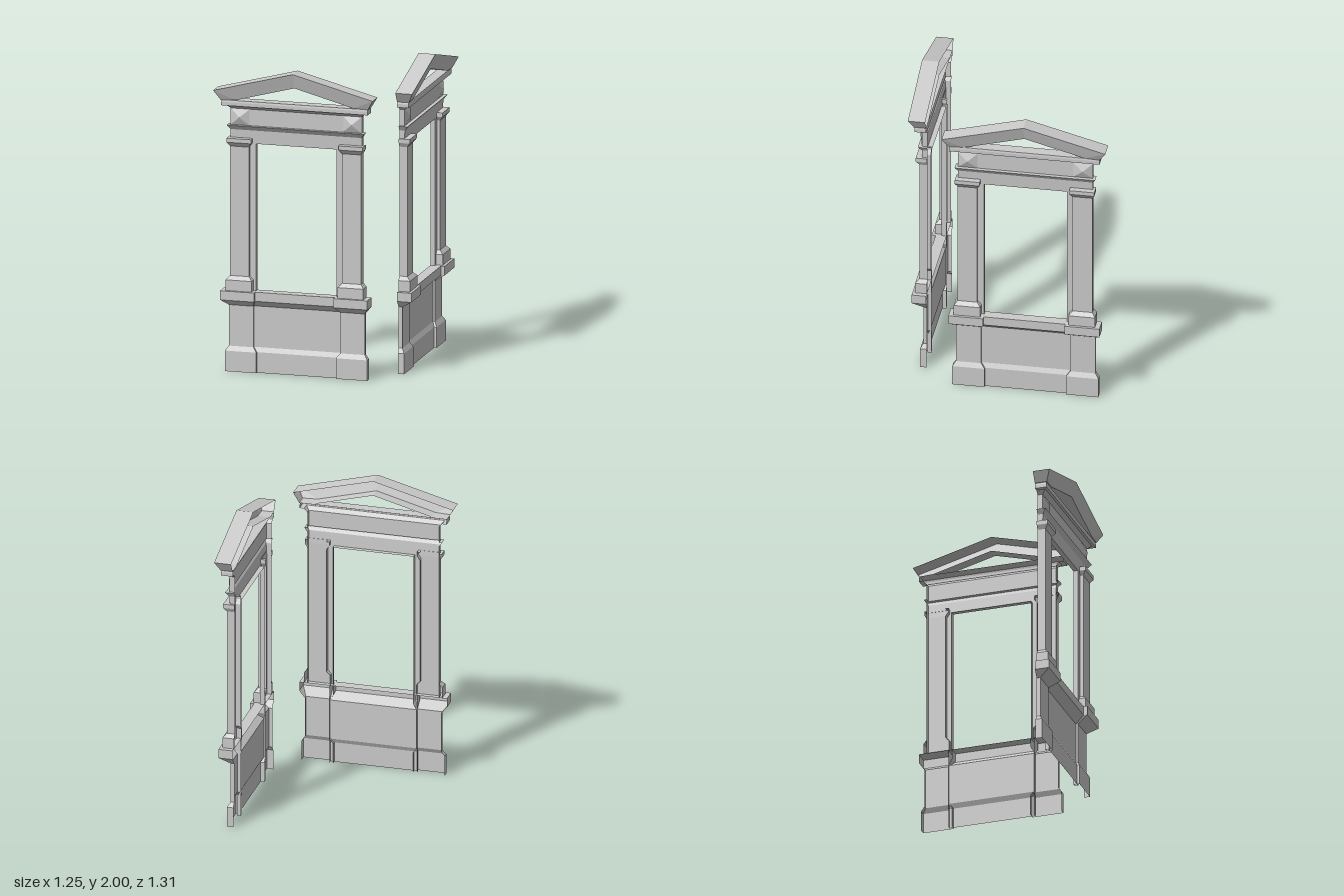
import * as THREE from 'three';

const material = new THREE.MeshStandardMaterial({ color: 0xcccccc, flatShading: true, side: THREE.DoubleSide });

// Mesh from a list of polygons, each fanned into triangles
function polyMesh(name, polys) {
  const pos = [];
  for (const p of polys)
    for (let i = 1; i < p.length - 1; i++) pos.push(...p[0], ...p[i], ...p[i + 1]);
  const geo = new THREE.BufferGeometry();
  geo.setAttribute('position', new THREE.Float32BufferAttribute(pos, 3));
  geo.computeVertexNormals();
  const mesh = new THREE.Mesh(geo, material);
  mesh.name = name;
  return mesh;
}

// Open-backed moulding: rows of [y, inner x, outer x, depth], from bottom to top
function moulding(name, rows, side = 1) {
  const loops = rows.map(([y, a, b, d]) => {
    const [l, r] = side > 0 ? [a, b] : [-b, -a];
    return [[l, y, 0], [l, y, d], [r, y, d], [r, y, 0]];
  });
  const polys = [];
  for (let i = 0; i < loops.length - 1; i++)
    for (let k = 0; k < 3; k++)
      polys.push([loops[i][k], loops[i][k + 1], loops[i + 1][k + 1], loops[i + 1][k]]);
  return polyMesh(name, polys);
}

// Moulding symmetrical about the centre: rows of [y, half width, depth]
const centred = (name, rows) => moulding(name, rows.map(([y, w, d]) => [y, -w, w, d]));

function pediment() {
  const front = 0.112, low = 0.08, polys = [];
  for (const s of [-1, 1]) {
    const tip = [s * 0.531, 1.86], foot = [s * 0.49, 1.793], heel = [s * 0.392, 1.797];
    const top = [0, 2], inner = [0, 1.902];
    const at = (p, z) => [p[0], p[1], z];
    const set = [
      [at(tip, front), at(foot, low), at(heel, low)],                             // foot of the rake
      [at(tip, front), at(heel, low), at(inner, low), at(top, front)],            // sloping face
      [at(tip, 0), at(tip, front), at(top, front), at(top, 0)],                   // roof
      [at(tip, 0), at(foot, 0), at(foot, low), at(tip, front)],                   // end return
      [at(heel, 0), at(inner, 0), at(inner, low), at(heel, low)],                 // soffit
      [at(foot, 0), at(heel, 0), at(heel, low), at(foot, low)],                   // underside
    ];
    polys.push(...set.map(p => (s < 0 ? p : p.slice().reverse())));
  }
  return polyMesh('pediment', polys);
}

function createWindowSurround() {
  const g = new THREE.Group();

  // Panel and sill under the opening
  g.add(centred('apronPanel', [
    [0, 0.29, 0.026], [0.135, 0.29, 0.026], [0.165, 0.29, 0.01], [0.435, 0.29, 0.01],
    [0.48, 0.29, 0.07], [0.54, 0.29, 0.07], [0.54, 0.29, 0],
  ]));

  for (const s of [-1, 1]) {
    // Pedestal with plinth and flared cap
    g.add(moulding('pedestal', [
      [0, 0.265, 0.474, 0.042], [0.135, 0.265, 0.474, 0.042], [0.165, 0.289, 0.453, 0.024],
      [0.435, 0.289, 0.453, 0.024], [0.48, 0.265, 0.49, 0.095], [0.54, 0.265, 0.49, 0.095],
      [0.54, 0.265, 0.49, 0],
    ], s));
    // Pilaster with base and capital
    g.add(moulding('pilaster', [
      [0.54, 0.286, 0.458, 0.077], [0.61, 0.286, 0.458, 0.077], [0.635, 0.31, 0.437, 0.053],
      [1.487, 0.31, 0.437, 0.053], [1.515, 0.291, 0.453, 0.074], [1.542, 0.291, 0.453, 0.074],
      [1.542, 0.31, 0.437, 0.032],
    ], s));
    // Jamb beside the opening
    g.add(moulding('jamb', [[0.54, 0.268, 0.437, 0.032], [1.507, 0.268, 0.437, 0.032]], s));
    // Pyramid boss on the frieze above each pilaster
    const c = [s * 0.3735, 1.679, 0.058];
    const q = [[-1, 1.625], [1, 1.625], [1, 1.733], [-1, 1.733]]
      .map(([k, y]) => [c[0] + k * 0.0635, y, 0.035]);
    g.add(polyMesh('friezeBoss', q.map((p, i) => [p, q[(i + 1) % 4], c])));
  }

  // Soffit of the opening, architrave, frieze and cornice
  g.add(polyMesh('lintelSoffit', [[
    [-0.268, 1.507, 0], [0.268, 1.507, 0], [0.268, 1.507, 0.032], [-0.268, 1.507, 0.032],
  ]]));
  g.add(centred('entablature', [
    [1.507, 0.437, 0.032], [1.595, 0.437, 0.037], [1.625, 0.456, 0.06], [1.625, 0.437, 0.035],
    [1.733, 0.437, 0.035], [1.757, 0.458, 0.06], [1.757, 0.488, 0.077], [1.78, 0.488, 0.077],
    [1.793, 0.484, 0.074], [1.793, 0.484, 0],
  ]));
  g.add(pediment());
  return g;
}

export function createModel() {
  const model = new THREE.Group();

  const front = createWindowSurround();
  front.name = 'frontWindowSurround';
  front.position.set(-0.095, 0, 0.545);

  const side = createWindowSurround();
  side.name = 'sideWindowSurround';
  side.rotation.y = Math.PI / 2;
  side.position.set(0.513, 0, -0.126);

  model.add(front, side);
  return model;
}
